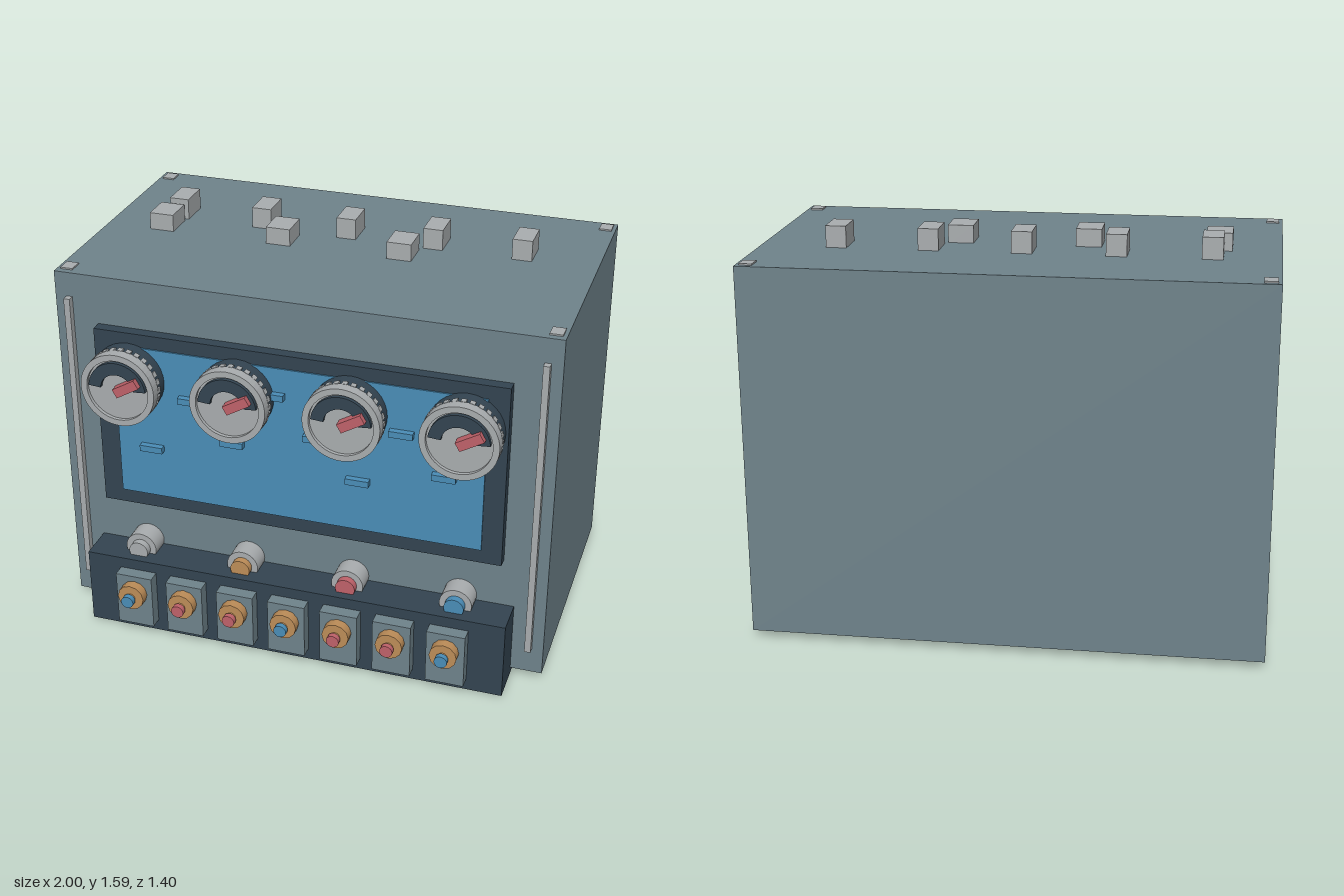
import * as THREE from 'three';

const material = (name, color) => {
  const m = new THREE.MeshStandardMaterial({ color });
  m.name = name;
  return m;
};

export function createModel() {
  const model = new THREE.Group();
  model.name = 'controlCabinet';
  const steel = material('blue grey steel', 0x6f838b);
  const dark = material('dark slate', 0x334451);
  const blue = material('panel blue', 0x4a8db7);
  const silver = material('silver', 0xa9adaf);
  const brass = material('brass', 0xbd8d58);
  const red = material('red', 0xc0626a);

  const add = (parent, name, geo, mat, x = 0, y = 0, z = 0) => {
    const mesh = new THREE.Mesh(geo, mat);
    mesh.name = name;
    mesh.position.set(x, y, z);
    parent.add(mesh);
    return mesh;
  };
  // Box given by its limits on each axis
  const box = (parent, name, mat, x0, x1, y0, y1, z0, z1) =>
    add(parent, name, new THREE.BoxGeometry(x1 - x0, y1 - y0, z1 - z0), mat,
      (x0 + x1) / 2, (y0 + y1) / 2, (z0 + z1) / 2);
  // Cylinder whose axis points to the front
  const disc = (parent, name, mat, r, z0, z1, sides = 32) =>
    add(parent, name, new THREE.CylinderGeometry(r, r, z1 - z0, sides).rotateX(Math.PI / 2),
      mat, 0, 0, (z0 + z1) / 2);
  const group = (name, x, y) => {
    const g = new THREE.Group();
    g.name = name;
    g.position.set(x, y, 0);
    model.add(g);
    return g;
  };
  // Flat arc band extruded towards the front
  const band = (rOut, rIn, a0, a1, depth) => {
    const s = new THREE.Shape();
    s.absarc(0, 0, rOut, a0, a1, false);
    s.absarc(0, 0, rIn, a1, a0, true);
    return new THREE.ExtrudeGeometry(s, { depth, bevelEnabled: false, curveSegments: 24 });
  };

  // Cabinet, base console and side rails
  box(model, 'cabinet', steel, -1, 1, 0.03, 1.5, -0.7, 0.427);
  box(model, 'console', dark, -0.873, 0.873, 0, 0.325, 0.3, 0.578);
  for (const s of [-1, 1]) {
    const x = s * 0.942;
    box(model, 'rail', silver, x - 0.0125, x + 0.0125, 0.14, 1.4, 0.42, 0.455);
    for (const z of [-0.65, 0.37])
      box(model, 'cornerPad', silver, s * 0.96 - 0.025, s * 0.96 + 0.025, 1.49, 1.506, z - 0.03, z + 0.03);
  }

  // Blocks on the roof in two rows
  for (let i = 0; i < 5; i++) {
    const x = -0.74 + i * 0.36;
    box(model, 'rearRoofBlock', silver, x - 0.04, x + 0.04, 1.49, 1.585, -0.35, -0.22);
  }
  for (let i = 0; i < 3; i++) {
    const x = -0.76 + i * 0.5;
    box(model, 'frontRoofBlock', silver, x - 0.05, x + 0.05, 1.49, 1.57, -0.2, -0.077);
  }

  // Display panel with small raised markers
  box(model, 'displayFrame', dark, -0.827, 0.823, 0.533, 1.3, 0.42, 0.473);
  box(model, 'displayPanel', blue, -0.745, 0.742, 0.592, 1.245, 0.471, 0.479);
  for (let i = 0; i < 8; i++) {
    const x = -0.6 + i * 0.17, y = 0.815 + ((i * 3) % 5) * 0.079;
    box(model, 'panelMarker', blue, x - 0.047, x + 0.047, y - 0.013, y + 0.013, 0.475, 0.505);
  }

  // Gauges
  const rim = band(0.152, 0.127, 0, Math.PI * 2, 0.045);
  const scale = band(0.118, 0.068, 0.08, Math.PI - 0.08, 0.022);
  for (let i = 0; i < 4; i++) {
    const g = group('gauge', -0.685 + i * 0.45, 1.11);
    disc(g, 'gaugeBody', dark, 0.147, 0.47, 0.56);
    disc(g, 'gaugeDial', silver, 0.135, 0.555, 0.58);
    add(g, 'gaugeRim', rim, silver, 0, 0, 0.55);
    add(g, 'gaugeScale', scale, dark, 0, 0, 0.575);
    for (let k = 0; k < 28; k++) {
      const a = (k / 28) * Math.PI * 2;
      const tooth = add(g, 'rimTooth', new THREE.BoxGeometry(0.02, 0.02, 0.025), silver,
        Math.cos(a) * 0.143, Math.sin(a) * 0.143, 0.541);
      tooth.rotation.z = a;
    }
    const needle = add(g, 'gaugeNeedle', new THREE.BoxGeometry(0.105, 0.038, 0.04), red, 0.045, 0.025, 0.6);
    needle.rotation.z = Math.PI / 6;
  }

  // Signal lamps
  [silver, brass, red, blue].forEach((mat, i) => {
    const g = group('signalLamp', -0.665 + i * 0.441, 0.345);
    disc(g, 'lampCollar', silver, 0.065, 0.42, 0.512);
    disc(g, 'lampLens', mat, 0.04, 0.5, 0.542);
  });

  // Row of switches on the console
  for (let i = 0; i < 7; i++) {
    const g = group('switch', -0.653 + i * 0.2175, 0.203);
    box(g, 'switchPlate', steel, -0.077, 0.077, -0.153, 0.077, 0.57, 0.63);
    disc(g, 'switchBushing', brass, 0.055, 0.62, 0.67, 12);
    disc(g, 'switchStem', brass, 0.02, 0.665, 0.685, 16);
    disc(g, 'switchTip', i % 3 ? red : blue, 0.026, 0.682, 0.705, 16);
  }
  return model;
}
